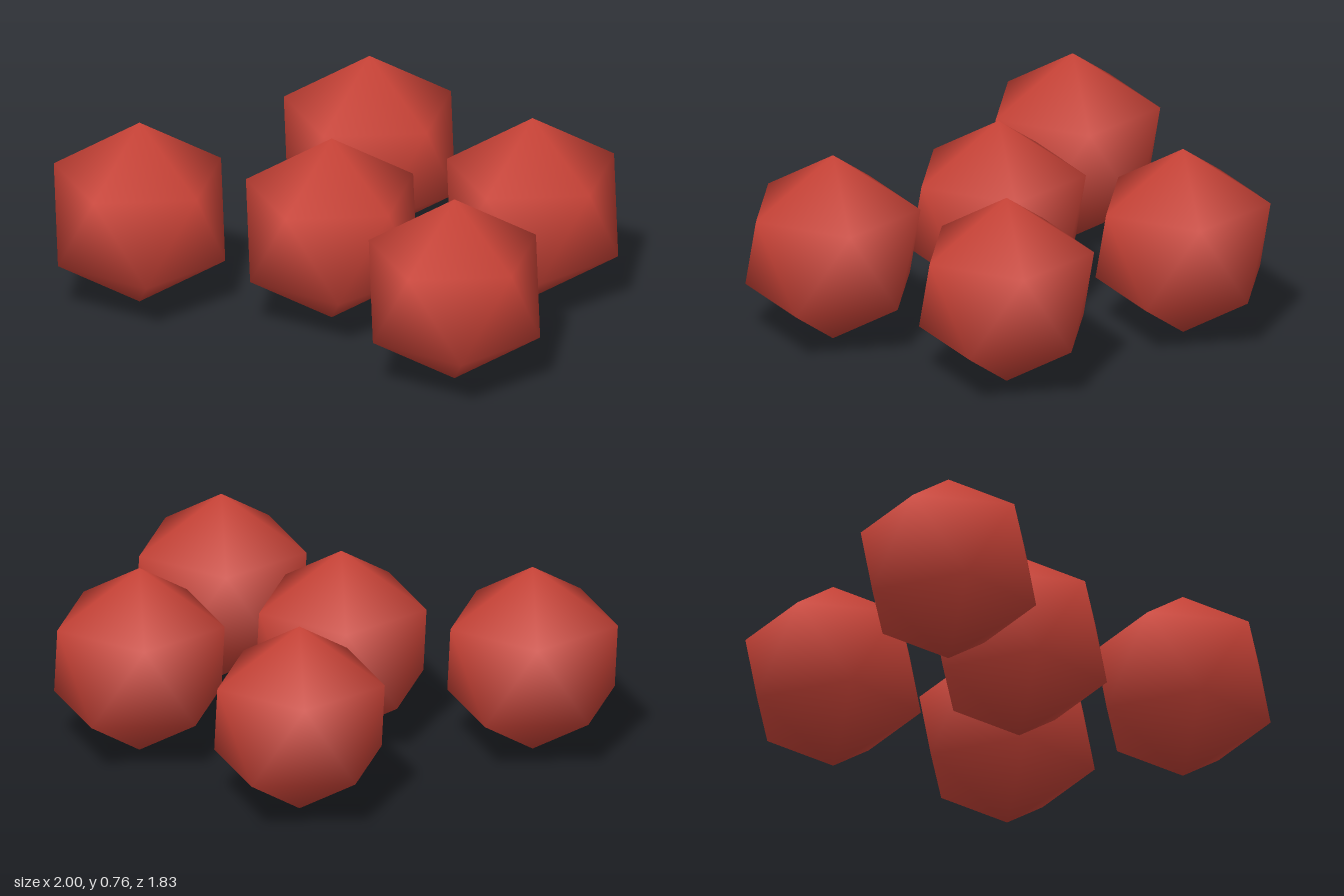
import * as THREE from 'three';
import { ConvexGeometry } from 'three/addons/geometries/ConvexGeometry.js';
import { mergeVertices } from 'three/addons/utils/BufferGeometryUtils.js';

const R = 0.38;

// Icosahedron standing on a vertex, upper ring pointing to +x, smooth normals
function createBerryGeometry() {
  const h = R / Math.sqrt(5), r = 2 * h;
  const points = [new THREE.Vector3(0, R, 0), new THREE.Vector3(0, -R, 0)];
  for (let i = 0; i < 5; i++) {
    const a = (i * Math.PI * 2) / 5;
    points.push(new THREE.Vector3(r * Math.cos(a), h, r * Math.sin(a)));
    points.push(new THREE.Vector3(-r * Math.cos(a), -h, -r * Math.sin(a)));
  }
  const hull = new ConvexGeometry(points);
  hull.deleteAttribute('normal');
  const geometry = mergeVertices(hull);
  geometry.computeVertexNormals();
  return geometry;
}

export function createModel() {
  const group = new THREE.Group();
  group.name = 'berries';
  const geometry = createBerryGeometry();
  const material = new THREE.MeshStandardMaterial({ color: 0xcc4438 });

  // Scattered berries, as x and z positions
  const spots = [[-0.55, -0.48], [0.29, -0.59], [-0.07, 0.12], [0.66, 0.12], [-0.66, 0.59]];
  spots.forEach(([x, z], i) => {
    const berry = new THREE.Mesh(geometry, material);
    berry.name = `berry${i + 1}`;
    berry.position.set(x, R, z);
    group.add(berry);
  });
  return group;
}
